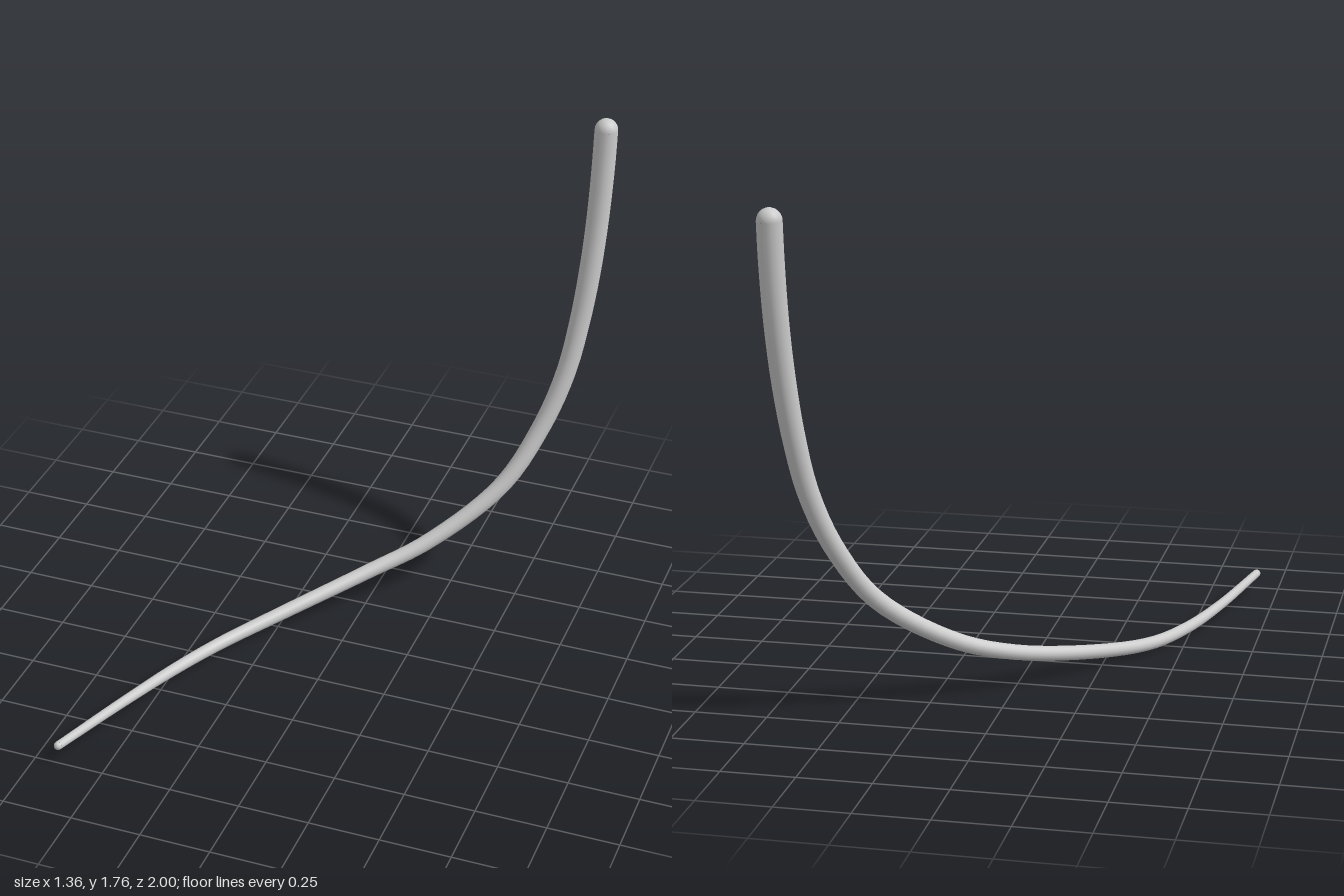
import * as THREE from 'three';

// Centreline from the thin tip to the thick upright end: x, y, z, radius
const SPINE = [
  [-0.668, 0.063, 0.985, 0.015],
  [-0.575, 0.036, 0.65, 0.018],
  [-0.49, 0.024, 0.4, 0.021],
  [-0.395, 0.026, 0.2, 0.023],
  [-0.25, 0.053, 0.0, 0.025],
  [0.0, 0.125, -0.28, 0.027],
  [0.18, 0.205, -0.43, 0.029],
  [0.4, 0.39, -0.61, 0.032],
  [0.51, 0.6, -0.73, 0.034],
  [0.572, 0.8, -0.803, 0.036],
  [0.603, 1.0, -0.853, 0.038],
  [0.622, 1.2, -0.89, 0.04],
  [0.632, 1.4, -0.921, 0.041],
  [0.636, 1.6, -0.944, 0.042],
  [0.636, 1.722, -0.955, 0.042],
];
const SEGMENTS = 64;
const SIDES = 16;

export function createModel() {
  const group = new THREE.Group();
  group.name = 'curvedTaperedRod';
  const material = new THREE.MeshStandardMaterial({ color: 0xcccccc });

  const curve = new THREE.CatmullRomCurve3(SPINE.map(([x, y, z]) => new THREE.Vector3(x, y, z)));

  // Radius at curve parameter t, interpolated between the spine stations
  const radiusAt = (t) => {
    const f = t * (SPINE.length - 1);
    const i = Math.min(Math.floor(f), SPINE.length - 2);
    return THREE.MathUtils.lerp(SPINE[i][3], SPINE[i + 1][3], f - i);
  };

  // Rod: a unit-radius tube whose rings are drawn in to the taper
  const tube = new THREE.TubeGeometry(curve, SEGMENTS, 1, SIDES, false);
  const pos = tube.attributes.position;
  const normal = tube.attributes.normal;
  const p = new THREE.Vector3();
  const n = new THREE.Vector3();
  for (let i = 0; i <= SEGMENTS; i++) {
    const u = i / SEGMENTS;
    const centre = curve.getPointAt(u);
    const r = radiusAt(curve.getUtoTmapping(u));
    for (let j = 0; j <= SIDES; j++) {
      const k = i * (SIDES + 1) + j;
      n.fromBufferAttribute(normal, k);
      p.copy(centre).addScaledVector(n, r);
      pos.setXYZ(k, p.x, p.y, p.z);
    }
  }
  const rod = new THREE.Mesh(tube, material);
  rod.name = 'rod';
  group.add(rod);

  // Rounded ends
  const up = new THREE.Vector3(0, 1, 0);
  const addEnd = (name, u, direction) => {
    const dome = new THREE.SphereGeometry(radiusAt(u), SIDES, 6, 0, Math.PI * 2, 0, Math.PI / 2);
    const end = new THREE.Mesh(dome, material);
    end.name = name;
    end.position.copy(curve.getPointAt(u));
    end.quaternion.setFromUnitVectors(up, curve.getTangentAt(u).multiplyScalar(direction));
    group.add(end);
  };
  addEnd('thinEnd', 0, -1);
  addEnd('thickEnd', 1, 1);

  return group;
}
